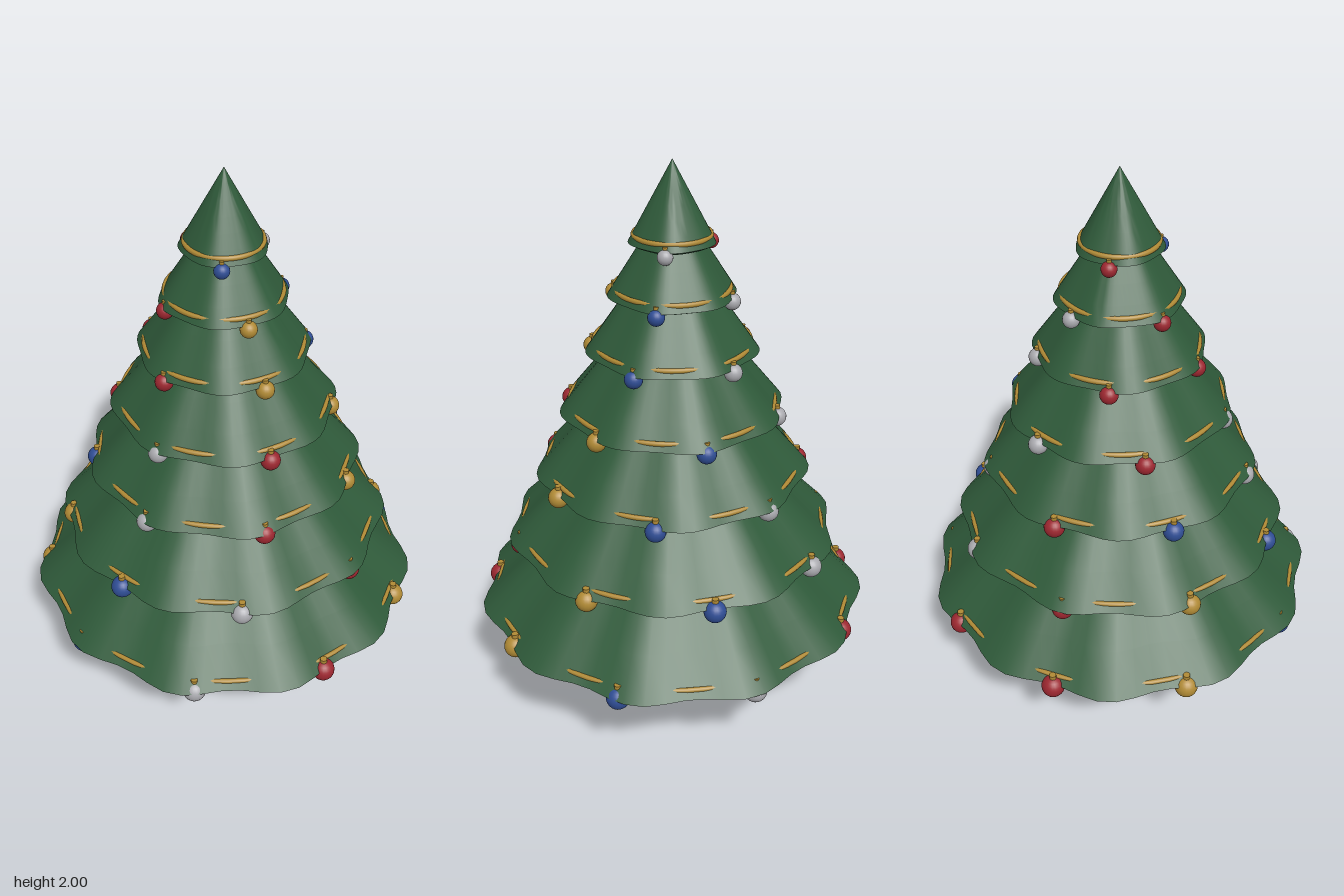
import * as THREE from 'three';
import { mergeVertices, toCreasedNormals } from 'three/addons/utils/BufferGeometryUtils.js';

const material = (color) => new THREE.MeshStandardMaterial({ color });
const green = material(0x2f5a3a);
const gold = material(0xb08a35);
const brown = material(0x7d5f42);
const bark = material(0x4a3524);
const baubleColors = [material(0x9c2730), gold, material(0x2f4d94), material(0xa9a9ae)];
const WAVE = 0.028; // depth of the scallops, as a share of the radius

// hem height, mean hem radius, cone height, direction of the first bauble in degrees
const tiers = [
  { y: 0.345, r: 0.72, h: 0.70, start: 180 },
  { y: 0.627, r: 0.603, h: 0.62, start: 135 },
  { y: 0.886, r: 0.491, h: 0.57, start: 137 },
  { y: 1.124, r: 0.397, h: 0.50, start: 87 },
  { y: 1.347, r: 0.30, h: 0.43, start: 95 },
  { y: 1.545, r: 0.22, h: 0.35, start: 29 },
  { y: 1.728, r: 0.147, h: 0.272, start: 54 },
];

function add(parent, name, geometry, mat, x = 0, y = 0, z = 0) {
  const mesh = new THREE.Mesh(geometry, mat);
  mesh.name = name;
  mesh.position.set(x, y, z);
  parent.add(mesh);
  return mesh;
}

// Cone with a scalloped hem and a shallow, closed underside
function boughGeometry(r, h, waves) {
  const lip = 0.01 + 0.02 * r;
  const profile = [[0, -lip], [0.45 * r, -lip], [0.88 * r, -0.75 * lip]];
  for (let i = 0; i <= 6; i++) profile.push([r * (1 - i / 6), (h * i) / 6]);
  const lathe = new THREE.LatheGeometry(profile.map(([x, y]) => new THREE.Vector2(x, y)), 66);
  const p = lathe.attributes.position;
  for (let i = 0; i < p.count; i++) {
    const x = p.getX(i), z = p.getZ(i);
    const k = 1 + WAVE * Math.cos(waves * Math.atan2(z, x));
    p.setX(i, x * k);
    p.setZ(i, z * k);
  }
  lathe.deleteAttribute('normal');
  lathe.deleteAttribute('uv');
  return toCreasedNormals(mergeVertices(lathe, 1e-5), 1.0);
}

function createBauble(radius, mat) {
  const bauble = new THREE.Group();
  bauble.name = 'bauble';
  add(bauble, 'baubleBall', new THREE.SphereGeometry(radius, 20, 14), mat);
  add(bauble, 'baubleCap', new THREE.CylinderGeometry(radius * 0.3, radius * 0.3, radius * 0.4, 10),
    gold, 0, radius * 1.1, 0);
  return bauble;
}

export function createModel() {
  const tree = new THREE.Group();
  tree.name = 'decoratedTree';

  add(tree, 'pot', new THREE.CylinderGeometry(0.26, 0.24, 0.285, 48), brown, 0, 0.1425, 0);
  add(tree, 'trunk', new THREE.CylinderGeometry(0.05, 0.058, 0.6, 20), bark, 0, 0.57, 0);

  tiers.forEach(({ y, r, h, start }, i) => {
    const tier = new THREE.Group();
    tier.name = 'tier' + (i + 1);
    tier.position.y = y;
    tree.add(tier);

    add(tier, 'boughs', boughGeometry(r, h, 11 - i), green);

    // Garland ring, showing only in the hollows of the scallops
    const lift = 0.023;
    const ringRadius = r * (1 - lift / h) * (1 - WAVE);
    const ring = add(tier, 'garland', new THREE.TorusGeometry(ringRadius, 0.009, 8, 72), gold, 0, lift, 0);
    ring.rotation.x = Math.PI / 2;

    // Baubles under the hem
    const count = 9 - i;
    for (let k = 0; k < count; k++) {
      const a = THREE.MathUtils.degToRad(start - (360 * k) / count);
      const bauble = createBauble(0.042 - 0.0025 * i, baubleColors[(k + i) % 4]);
      bauble.position.set(Math.cos(a) * r * 0.958, -0.016, Math.sin(a) * r * 0.958);
      tier.add(bauble);
    }
  });

  tree.position.x = -0.01;
  const model = new THREE.Group();
  model.name = 'pottedTree';
  model.add(tree);
  return model;
}
